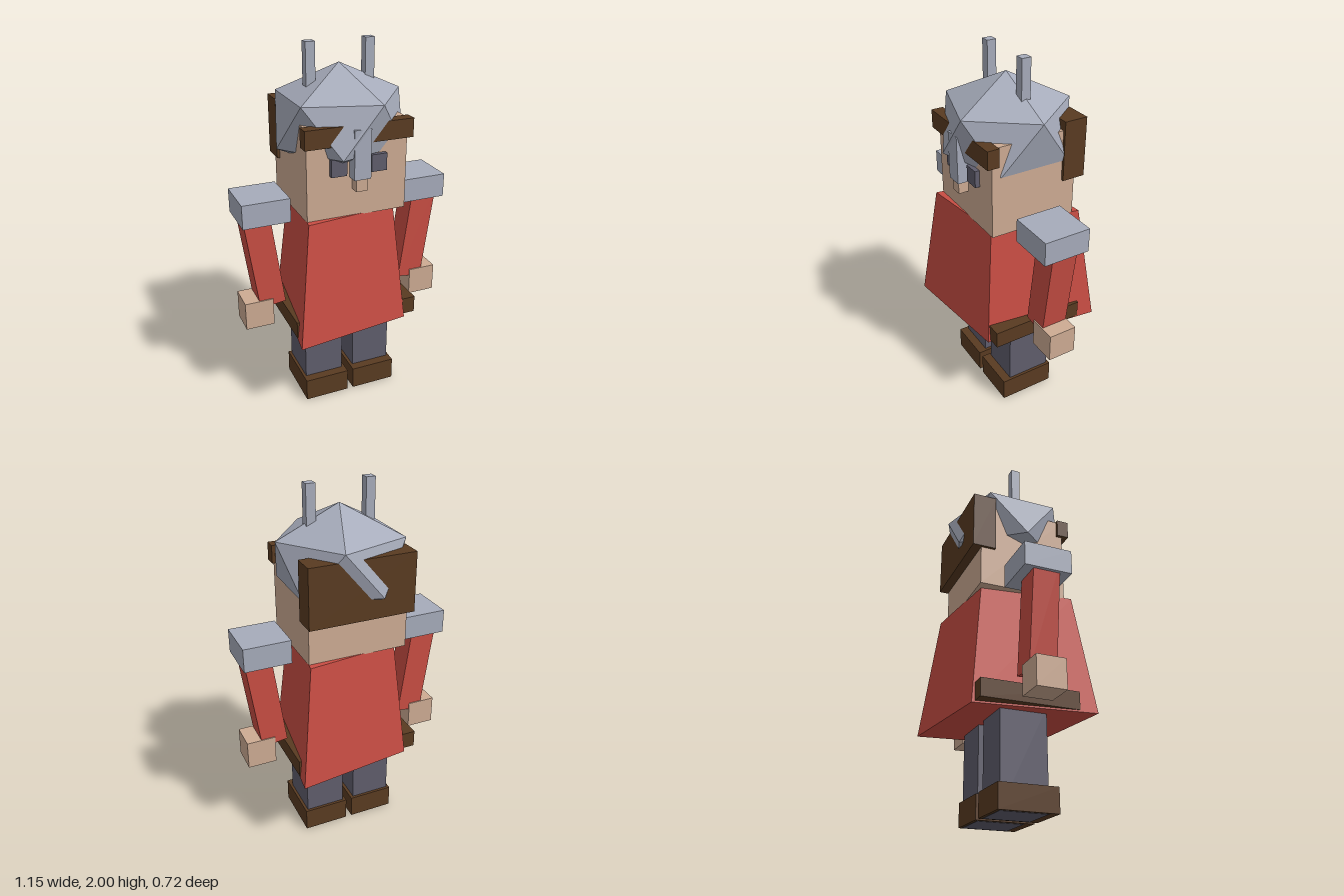
import * as THREE from 'three';

const flat = (name, color) => {
  const m = new THREE.MeshStandardMaterial({ color });
  m.name = name;
  m.flatShading = true;
  return m;
};

export function createModel() {
  const metal = flat('steel grey', 0xa6abba);
  const skin = flat('skin tan', 0xcdab93);
  const red = flat('tunic red', 0xc84d43);
  const brown = flat('leather brown', 0x593b21);
  const dark = flat('slate grey', 0x5f5d6c);

  const model = new THREE.Group();
  model.name = 'helmetedFigure';

  const add = (name, geometry, material) => {
    const mesh = new THREE.Mesh(geometry, material);
    mesh.name = name;
    model.add(mesh);
    return mesh;
  };
  // Box given by its minimum and maximum along each axis
  const box = (name, material, [x0, x1], [y0, y1], [z0, z1]) => {
    const mesh = add(name, new THREE.BoxGeometry(x1 - x0, y1 - y0, z1 - z0), material);
    mesh.position.set((x0 + x1) / 2, (y0 + y1) / 2, (z0 + z1) / 2);
    return mesh;
  };
  // Mirrored box, s = 1 for left and -1 for right
  const sideBox = (s, name, material, [x0, x1], y, z) =>
    box((s > 0 ? 'left' : 'right') + name, material, s > 0 ? [x0, x1] : [-x1, -x0], y, z);

  // Tunic: four-sided taper with a rhombic footprint
  const tunic = new THREE.CylinderGeometry(0.775, 1, 0.665, 4, 1);
  tunic.scale(0.509, 1, 0.396).rotateY(Math.PI / 4);
  add('tunic', tunic, red).position.y = 0.8225;
  box('belt', brown, [-0.35, 0.35], [0.5, 0.595], [-0.262, 0.265]);

  // Head, hair and face
  box('head', skin, [-0.272, 0.272], [1.15, 1.635], [-0.24, 0.24]);
  box('frontHair', brown, [-0.29, 0.29], [1.54, 1.638], [0.208, 0.273]);
  box('backHair', brown, [-0.287, 0.287], [1.365, 1.685], [-0.29, -0.163]);
  box('nose', skin, [-0.03, 0.03], [1.3, 1.39], [0.22, 0.295]);

  // Helmet: squashed icosahedron standing on a vertex
  const helmet = new THREE.IcosahedronGeometry(1, 0);
  helmet.rotateZ(-Math.atan(2 / (1 + Math.sqrt(5))));
  helmet.scale(0.382, 0.284, 0.364);
  add('helmet', helmet, metal).position.y = 1.602;
  box('noseGuard', metal, [-0.045, 0.045], [1.365, 1.62], [0.235, 0.305]);

  for (const s of [1, -1]) {
    sideBox(s, 'Horn', metal, [0.135, 0.185], [1.78, 2], [-0.025, 0.025]);
    sideBox(s, 'Eye', dark, [0.067, 0.151], [1.382, 1.472], [0.2, 0.265]);

    // Arm leaning in toward the hand
    const arm = sideBox(s, 'Arm', red, [0.383, 0.527], [0.615, 1.195], [-0.072, 0.072]);
    arm.rotation.z = -s * 0.133;
    sideBox(s, 'Shoulder', metal, [0.32, 0.575], [1.12, 1.25], [-0.126, 0.13]);
    sideBox(s, 'Hand', skin, [0.417, 0.575], [0.5, 0.657], [-0.077, 0.079]);

    // Leg runs down through the boot to the sole
    sideBox(s, 'Leg', dark, [0.034, 0.256], [0, 0.52], [-0.125, 0.125]);
    sideBox(s, 'Boot', brown, [0.017, 0.271], [0.002, 0.13], [-0.14, 0.175]);
  }
  return model;
}
